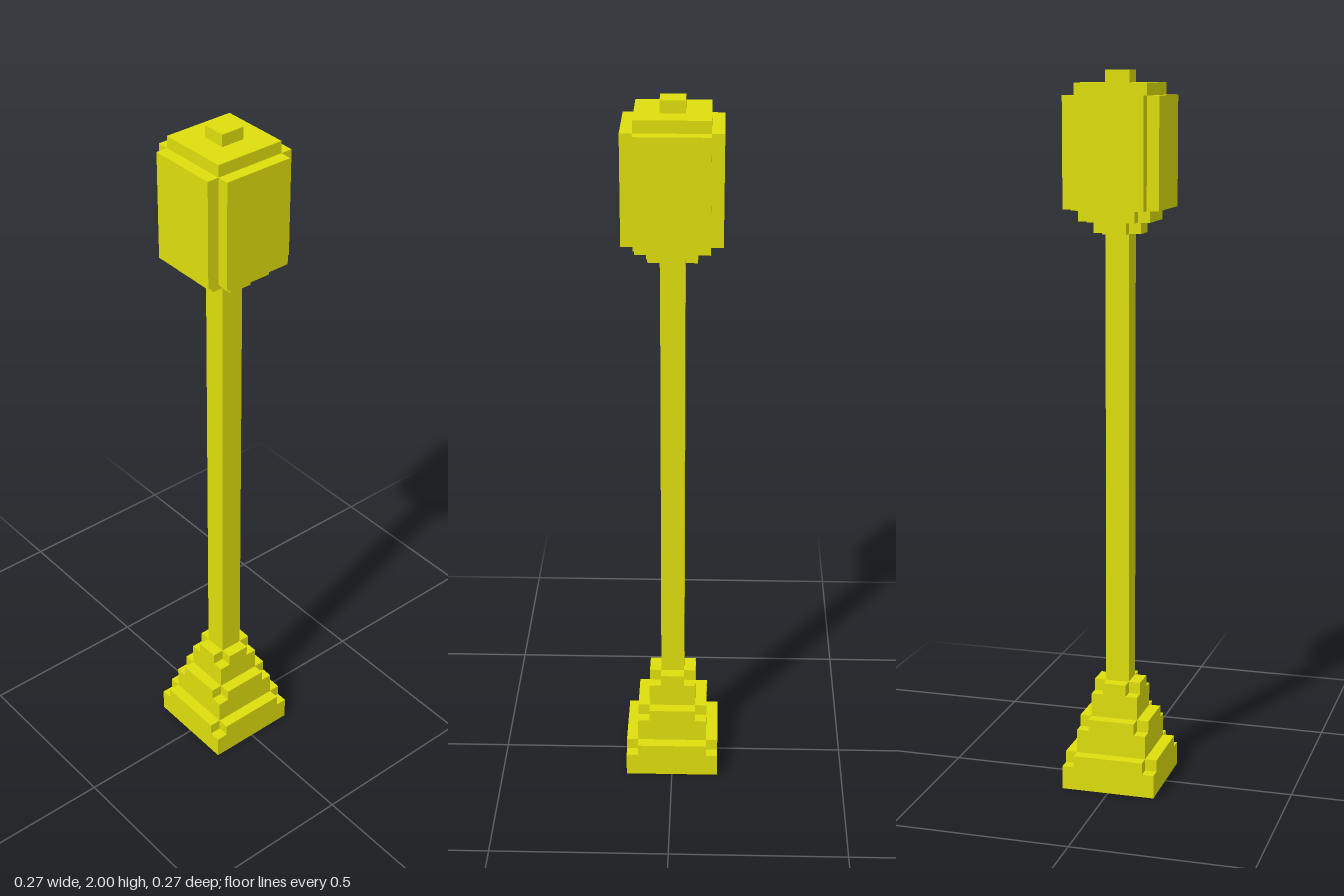
import * as THREE from 'three';

const U = 1 / 30; // one block unit; the lamp post is 60 units tall

export function createModel() {
  const group = new THREE.Group();
  group.name = 'lampPost';
  const material = new THREE.MeshStandardMaterial({ color: 0xdede0d, flatShading: true });

  const add = (name, geometry, y) => {
    const mesh = new THREE.Mesh(geometry, material);
    mesh.name = name;
    mesh.position.y = y * U;
    group.add(mesh);
  };

  // square block from height y0 to y1
  const block = (name, width, y0, y1) =>
    add(name, new THREE.BoxGeometry(width * U, (y1 - y0) * U, width * U), (y0 + y1) / 2);

  // square block with a one-unit notch cut from each vertical corner
  const notched = (name, width, y0, y1) => {
    const a = (width / 2) * U, b = a - U;
    const outline = [
      [a, -b], [a, b], [b, b], [b, a], [-b, a], [-b, b],
      [-a, b], [-a, -b], [-b, -b], [-b, -a], [b, -a], [b, -b],
    ].map(([x, y]) => new THREE.Vector2(x, y));
    const geometry = new THREE.ExtrudeGeometry(new THREE.Shape(outline), {
      depth: (y1 - y0) * U, bevelEnabled: false,
    });
    geometry.rotateX(-Math.PI / 2);
    add(name, geometry, y0);
  };

  // stepped base: each tier is two units of full block and a notched top layer
  [8, 6, 4].forEach((width, i) => {
    block(`baseTier${i + 1}`, width, i * 3, i * 3 + 2);
    notched(`baseTierTop${i + 1}`, width, i * 3 + 2, i * 3 + 3);
  });

  block('pole', 2, 9, 47);

  // lantern: stepped underside, panelled body, roof and finial
  notched('lanternLowerCollar', 4, 47, 48);
  notched('lanternUpperCollar', 6, 48, 49);
  notched('lanternBody', 8, 49, 58);
  block('lanternRoof', 6, 58, 59);
  block('finial', 2, 59, 60);

  return group;
}
